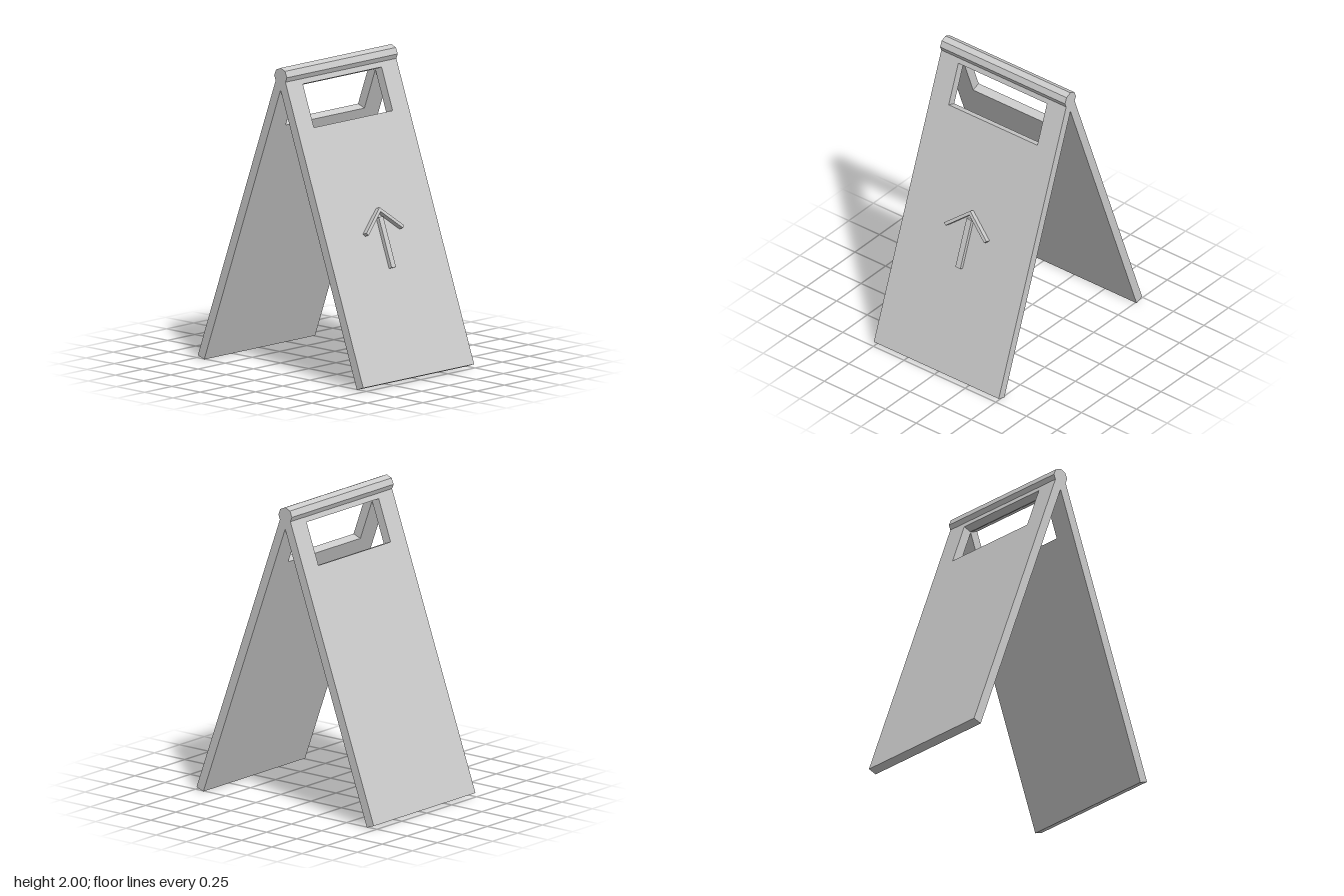
import * as THREE from 'three';

const WIDTH = 1.02, THICK = 0.06, LENGTH = 2.058;
const PIVOT_Y = 1.944, TILT = THREE.MathUtils.degToRad(20);

const polygon = (points, Type = THREE.Shape) =>
  new Type(points.map(([x, y]) => new THREE.Vector2(x, y)));
const rect = (halfWidth, top, bottom) =>
  [[-halfWidth, bottom], [halfWidth, bottom], [halfWidth, top], [-halfWidth, top]];

export function createModel() {
  const grey = new THREE.MeshStandardMaterial({ color: 0xcccccc });
  grey.name = 'lightGrey';
  const model = new THREE.Group();
  model.name = 'foldingFloorSign';

  // Extrudes a flat outline forwards from depth z
  const slab = (name, shape, z, depth) => {
    const geometry = new THREE.ExtrudeGeometry(shape, { depth, bevelEnabled: false });
    geometry.translate(0, 0, z);
    const mesh = new THREE.Mesh(geometry, grey);
    mesh.name = name;
    return mesh;
  };

  // Leaning board with a handle opening, hung from the hinge line
  const makeBoard = (name) => {
    const outline = polygon(rect(WIDTH / 2, 0, -LENGTH));
    outline.holes.push(polygon(rect(0.362, -0.078, -0.365).reverse(), THREE.Path));
    const leaf = new THREE.Group();
    leaf.name = name;
    leaf.position.y = PIVOT_Y;
    leaf.rotation.order = 'YXZ';
    leaf.rotation.x = -TILT;
    leaf.add(slab(name + 'Panel', outline, -THICK / 2, THICK));
    model.add(leaf);
    return leaf;
  };
  const front = makeBoard('frontBoard');
  makeBoard('backBoard').rotation.y = Math.PI;

  // Raised arrow on the front board
  const face = THICK / 2;
  front.add(slab('arrowShaft', polygon(rect(0.02, -1.013, -1.347)), face - 0.005, 0.03));
  const head = polygon([
    [0, -0.953], [-0.172, -1.097], [-0.158, -1.114],
    [0, -0.981], [0.158, -1.114], [0.172, -1.097],
  ]);
  front.add(slab('arrowHead', head, face - 0.005, 0.04));

  // Eight-sided hinge bar along the top
  const bar = new THREE.CylinderGeometry(0.056, 0.056, WIDTH, 8).toNonIndexed();
  bar.computeVertexNormals();
  const hinge = new THREE.Mesh(bar, grey);
  hinge.name = 'hingeBar';
  hinge.rotation.z = Math.PI / 2;
  hinge.position.y = PIVOT_Y;
  model.add(hinge);

  return model;
}
